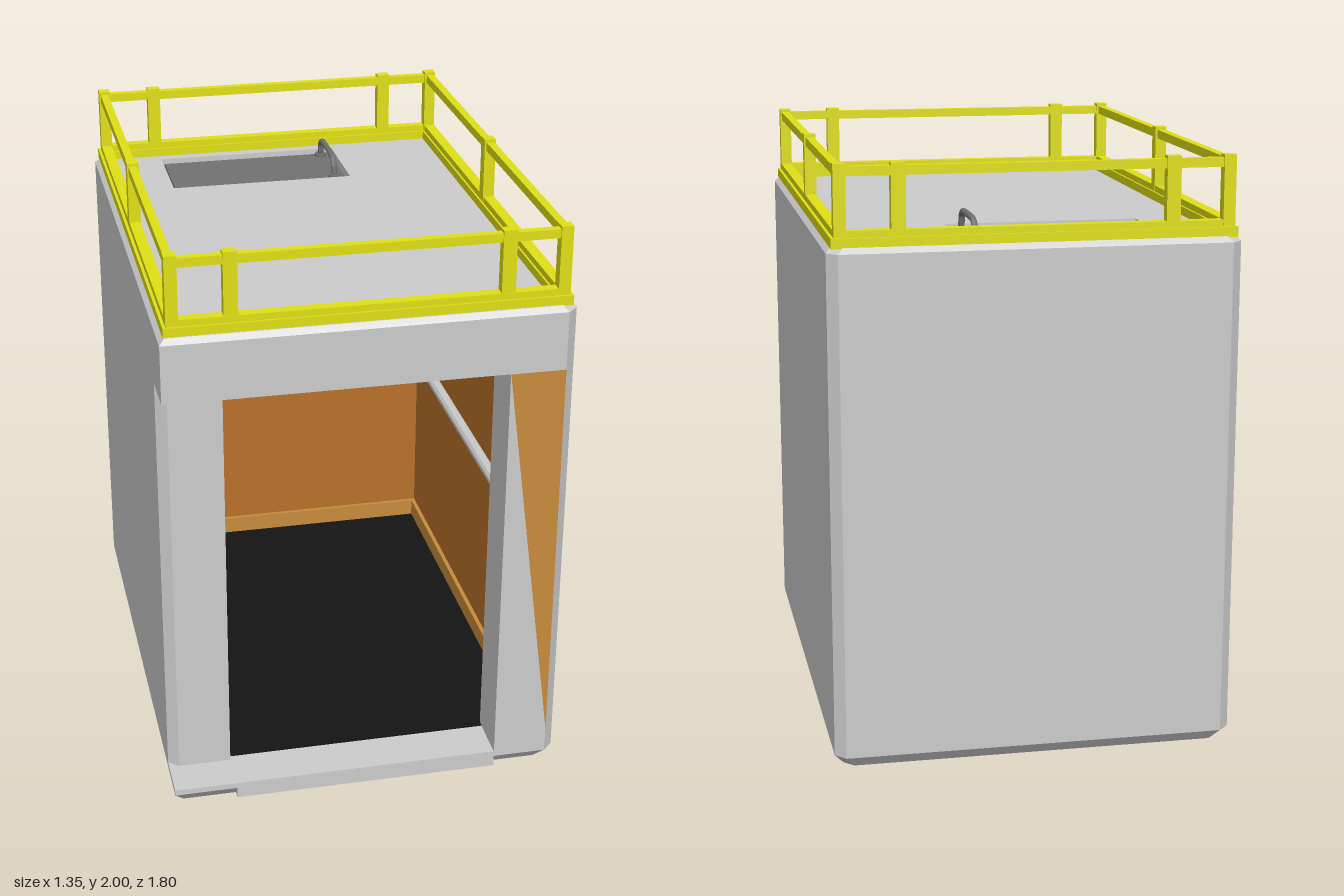
import * as THREE from 'three';

const mat = (color) => new THREE.MeshStandardMaterial({ color, flatShading: true, side: THREE.DoubleSide });

export function createModel() {
  const model = new THREE.Group();
  model.name = 'liftCabin';
  const grey = mat(0xcccccc), orange = mat(0xb97129), trim = mat(0xc88b3c);
  const yellow = mat(0xdfdf15), dark = mat(0x727272), black = mat(0x141414);

  const add = (name, geometry, material, parent = model) => {
    const mesh = new THREE.Mesh(geometry, material);
    mesh.name = name;
    parent.add(mesh);
    return mesh;
  };
  // Box given by its extents
  const box = (name, material, x0, x1, y0, y1, z0, z1, parent) => {
    const g = new THREE.BoxGeometry(x1 - x0, y1 - y0, z1 - z0);
    g.translate((x0 + x1) / 2, (y0 + y1) / 2, (z0 + z1) / 2);
    return add(name, g, material, parent);
  };
  // Floor plan of [x, z] points raised from y0 to y1
  const path = (pts) => pts.map(([x, z]) => new THREE.Vector2(x, -z));
  const rect = (x0, x1, z0, z1) => [[x0, z0], [x1, z0], [x1, z1], [x0, z1]];
  const raise = (pts, y0, y1, hole) => {
    const shape = new THREE.Shape(path(pts));
    if (hole) shape.holes.push(new THREE.Path(path(hole)));
    const g = new THREE.ExtrudeGeometry(shape, { depth: y1 - y0, bevelEnabled: false });
    g.rotateX(-Math.PI / 2);
    g.translate(0, y0, 0);
    return g;
  };
  // Pull the outer rim inwards at one height to make a sloping edge
  const taper = (g, y, inset) => {
    const p = g.attributes.position;
    for (let i = 0; i < p.count; i++) {
      if (Math.abs(p.getY(i) - y) > 0.001) continue;
      const x = p.getX(i), z = p.getZ(i);
      if (Math.abs(x) < 0.63 && Math.abs(z) < 0.85) continue;
      p.setXYZ(i, x * (1 - inset / 0.675), p.getY(i), z * (1 - inset / 0.9));
    }
    g.computeVertexNormals();
    return g;
  };

  // Outer outline: sharp front right corner, the others cut off
  const W = 0.675, D = 0.9, C = 0.035;
  const outline = [[-W, D], [W - C, D], [W, D - C], [W, -D + C], [W - C, -D], [-W + C, -D], [-W, -D + C]];
  const room = rect(-0.62, 0.62, -0.86, 0.72);

  // Floor slab with sloping underside and a square sill
  add('floorUnderside', taper(raise(outline, 0, 0.04), 0, 0.032), grey);
  add('floorSlab', raise(outline, 0.04, 0.06), grey);
  box('doorSill', grey, -0.46, 0.455, 0.001, 0.05, 0.7, 0.9);
  box('floorMat', black, -0.62, 0.62, 0.055, 0.065, -0.86, 0.74);

  // Walls with the doorway; one jamb is set back
  const walls = [[0.455, D], [W - C, D], [W, D - C], [W, -D + C], [W - C, -D], [-W + C, -D], [-W, -D + C],
    [-W, 0.73], [-W + C, 0.76], [-0.46, 0.76], [-0.46, 0.72], [-0.62, 0.72], [-0.62, -0.86],
    [0.62, -0.86], [0.62, 0.72], [0.455, 0.72]];
  add('walls', raise(walls, 0.06, 1.52), grey);
  const tri = new THREE.Shape([new THREE.Vector2(0.455, 1.52), new THREE.Vector2(0.64, 0.13), new THREE.Vector2(0.64, 1.52)]);
  const triGeometry = new THREE.ShapeGeometry(tri);
  triGeometry.translate(0, 0, 0.902);
  add('jambPanel', triGeometry, trim);

  // Header and roof with a hatch recess
  const hatch = rect(-0.43, 0.23, -0.79, -0.46);
  add('header', raise(outline, 1.52, 1.66, room), grey);
  add('ceiling', raise(outline, 1.66, 1.705), grey);
  add('roofEdge', raise(outline, 1.705, 1.72, hatch), grey);
  add('roof', taper(raise(outline, 1.72, 1.738, hatch), 1.738, 0.018), grey);
  box('hatchLid', dark, -0.42, 0.22, 1.7, 1.722, -0.78, -0.47);

  // Hatch handle
  const v = (y, z) => new THREE.Vector3(0.18, y, z);
  const grip = new THREE.CatmullRomCurve3([v(1.72, -0.755), v(1.775, -0.745), v(1.793, -0.71),
    v(1.793, -0.55), v(1.775, -0.515), v(1.72, -0.505)], false, 'catmullrom', 0.3);
  add('hatchHandle', new THREE.TubeGeometry(grip, 24, 0.011, 8), dark);
  for (const z of [-0.755, -0.505]) {
    const foot = new THREE.CylinderGeometry(0.022, 0.022, 0.012, 12);
    foot.translate(0.18, 1.727, z);
    add('handleFoot', foot, dark);
  }

  // Interior lining, skirting and grab rails
  box('backLining', orange, -0.62, 0.62, 0.06, 1.66, -0.865, -0.85);
  box('backSkirting', trim, -0.61, 0.61, 0.06, 0.13, -0.85, -0.835);
  for (const s of [-1, 1]) {
    const side = new THREE.Group();
    side.name = s < 0 ? 'rightInterior' : 'leftInterior';
    model.add(side);
    const sideBox = (name, m, a, b, ...rest) => box(name, m, Math.min(s * a, s * b), Math.max(s * a, s * b), ...rest, side);
    sideBox('sideLining', orange, 0.61, 0.625, 0.06, 1.66, -0.86, 0.72);
    sideBox('sideSkirting', trim, 0.595, 0.61, 0.06, 0.13, -0.85, 0.71);
    sideBox('jambLining', orange, 0.47, 0.61, 0.06, 1.52, 0.705, 0.72);
    const runs = s < 0 ? [[0.24, 0.7], [-0.83, -0.42]] : [[-0.83, 0.7]];
    for (const [z0, z1] of runs) {
      const rail = new THREE.CylinderGeometry(0.022, 0.022, z1 - z0, 10);
      rail.rotateX(Math.PI / 2);
      rail.translate(s * 0.56, 0.885, (z0 + z1) / 2);
      add('sideGrabRail', rail, grey, side);
      for (const z of [z0 + 0.04, z1 - 0.04]) sideBox('railBracket', grey, 0.56, 0.61, 0.875, 0.895, z - 0.01, z + 0.01);
    }
    if (s < 0) sideBox('wallPanel', grey, 0.598, 0.61, 0.2, 1.5, -0.42, 0.24);
  }
  const backRail = new THREE.CylinderGeometry(0.022, 0.022, 1.2, 10);
  backRail.rotateZ(Math.PI / 2);
  backRail.translate(0, 0.885, -0.8);
  add('backGrabRail', backRail, grey);

  // Roof guard rail: stepped kick board, posts and top bars
  const guard = new THREE.Group();
  guard.name = 'roofGuard';
  model.add(guard);
  add('kickBoardBase', raise(rect(-0.66, 0.66, -0.882, 0.878), 1.735, 1.768, rect(-0.605, 0.605, -0.83, 0.825)), yellow, guard);
  add('kickBoard', raise(rect(-0.65, 0.65, -0.874, 0.87), 1.768, 1.79, rect(-0.612, 0.612, -0.837, 0.832)), yellow, guard);
  add('topRail', raise(rect(-0.645, 0.645, -0.868, 0.864), 1.96, 1.99, rect(-0.617, 0.617, -0.84, 0.836)), yellow, guard);
  const post = (x, z, w, d) => box('post', yellow, x - w / 2, x + w / 2, 1.77, 2, z - d / 2, z + d / 2, guard);
  for (const x of [-0.63, 0.63]) {
    for (const z of [-0.855, 0.85]) {
      post(x, z, 0.04, 0.04);
      post(Math.sign(x) * 0.445, z, 0.046, 0.036);
    }
    post(x, -0.025, 0.04, 0.044);
  }
  return model;
}
